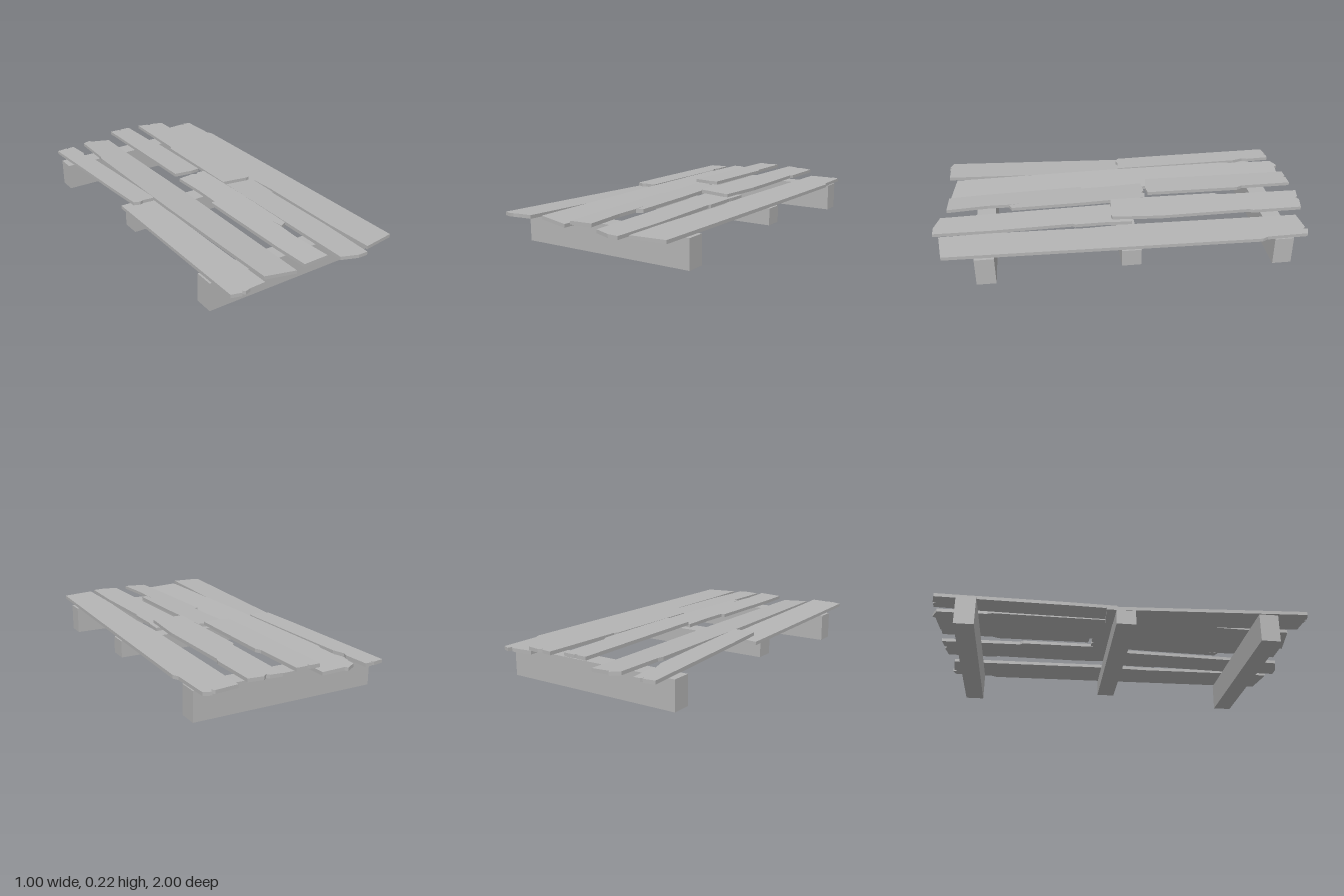
import * as THREE from 'three';

const THICKNESS = 0.018;

// A worn board: outline in x/z, underside height y + slopeX * x + slopeZ * z
function plank(name, material, y, slopeX, slopeZ, outline) {
  const shape = new THREE.Shape(outline.map(([x, z]) => new THREE.Vector2(x, -z)));
  const geo = new THREE.ExtrudeGeometry(shape, { depth: THICKNESS, bevelEnabled: false });
  geo.rotateX(-Math.PI / 2);
  const p = geo.attributes.position;
  for (let i = 0; i < p.count; i++) {
    p.setY(i, p.getY(i) + y + slopeX * p.getX(i) + slopeZ * p.getZ(i));
  }
  geo.computeVertexNormals();
  const mesh = new THREE.Mesh(geo, material);
  mesh.name = name;
  return mesh;
}

// A square-cut support beam running across the boards
function beam(name, material, x0, x1, y0, z) {
  const mesh = new THREE.Mesh(new THREE.BoxGeometry(x1 - x0, 0.15 - y0, 0.1), material);
  mesh.position.set((x0 + x1) / 2, (0.15 + y0) / 2, z);
  mesh.name = name;
  return mesh;
}

export function createModel() {
  const group = new THREE.Group();
  group.name = 'brokenPallet';
  const wood = new THREE.MeshStandardMaterial({ color: 0xb4b4b4 });
  wood.name = 'greyWood';

  // Support beams; the middle one is shallower
  group.add(
    beam('frontBeam', wood, -0.5, 0.48, 0, 0.73),
    beam('middleBeam', wood, -0.48, 0.492, 0.06, -0.01),
    beam('backBeam', wood, -0.5, 0.487, 0, -0.81)
  );

  // Boards from the right (-x) to the left (+x), with chipped ends
  group.add(
    plank('rightFrontPlank', wood, 0.153, 0.03, 0.027, [
      [-0.48, -0.11], [-0.31, -0.1], [-0.305, 0], [-0.315, 0.5], [-0.32, 0.95], [-0.4, 0.95],
      [-0.43, 0.957], [-0.44, 0.945], [-0.45, 0.957], [-0.5, 0.94],
    ]),
    plank('rightBackPlank', wood, 0.169, 0, 0.017, [
      [-0.48, -0.97], [-0.42, -0.98], [-0.415, -0.965], [-0.405, -0.98], [-0.37, -0.98],
      [-0.36, -0.85], [-0.37, -0.82], [-0.35, -0.76], [-0.335, -0.48], [-0.315, -0.06],
      [-0.32, -0.04], [-0.38, -0.045], [-0.4, -0.037], [-0.435, -0.05], [-0.45, -0.3],
    ]),
    plank('innerRightPlank', wood, 0.137, -0.088, 0, [
      [-0.3, -0.975], [-0.25, -1], [-0.24, -0.985], [-0.125, -0.97], [-0.125, -0.7],
      [-0.115, 0], [-0.12, 0.93], [-0.29, 0.905], [-0.31, 0.1], [-0.315, -0.69], [-0.305, -0.72],
    ]),
    plank('centreBackPlank', wood, 0.206, 0, 0.008, [
      [-0.1, -0.98], [-0.045, -0.98], [-0.04, -0.965], [-0.03, -0.98], [0.03, -0.98],
      [0.035, -0.7], [0.05, -0.67], [0.05, -0.16], [0, -0.155], [-0.1, -0.17],
    ]),
    plank('centreFrontPlank', wood, 0.186, 0.04, -0.014, [
      [-0.09, -0.14], [0, -0.145], [0.02, -0.13], [0.03, -0.145], [0.075, -0.14], [0.085, 0.2],
      [0.085, 0.59], [0.05, 0.605], [0.04, 0.53], [0.045, 0.6], [0.04, 0.72], [0.055, 0.94],
      [-0.08, 0.935], [-0.09, 0.75], [-0.1, 0.2], [-0.08, 0.2], [-0.08, 0.05],
    ]),
    plank('innerLeftBackPlank', wood, 0.196, -0.035, 0, [
      [0.11, -0.99], [0.17, -0.98], [0.18, -0.965], [0.2, -0.98], [0.275, -0.965],
      [0.275, -0.7], [0.265, -0.68], [0.27, -0.2], [0.25, 0.06], [0.23, 0.065],
      [0.08, 0.05], [0.085, -0.53], [0.1, -0.55],
    ]),
    plank('innerLeftFrontPlank', wood, 0.178, -0.03, -0.013, [
      [0.1, -0.04], [0.28, -0.04], [0.275, 0.05], [0.27, 0.08], [0.268, 0.26], [0.26, 0.27],
      [0.265, 0.7], [0.255, 1], [0.2, 1], [0.11, 0.97],
    ]),
    plank('leftPlank', wood, 0.159, -0.01, 0.003, [
      [0.3, -0.93], [0.42, -0.94], [0.435, -0.925], [0.44, -0.95], [0.48, -0.935],
      [0.485, -0.72], [0.5, -0.69], [0.49, -0.1], [0.47, 0.94], [0.29, 0.965],
      [0.285, 0.7], [0.295, 0.2], [0.285, 0], [0.29, -0.3],
    ])
  );
  return group;
}
